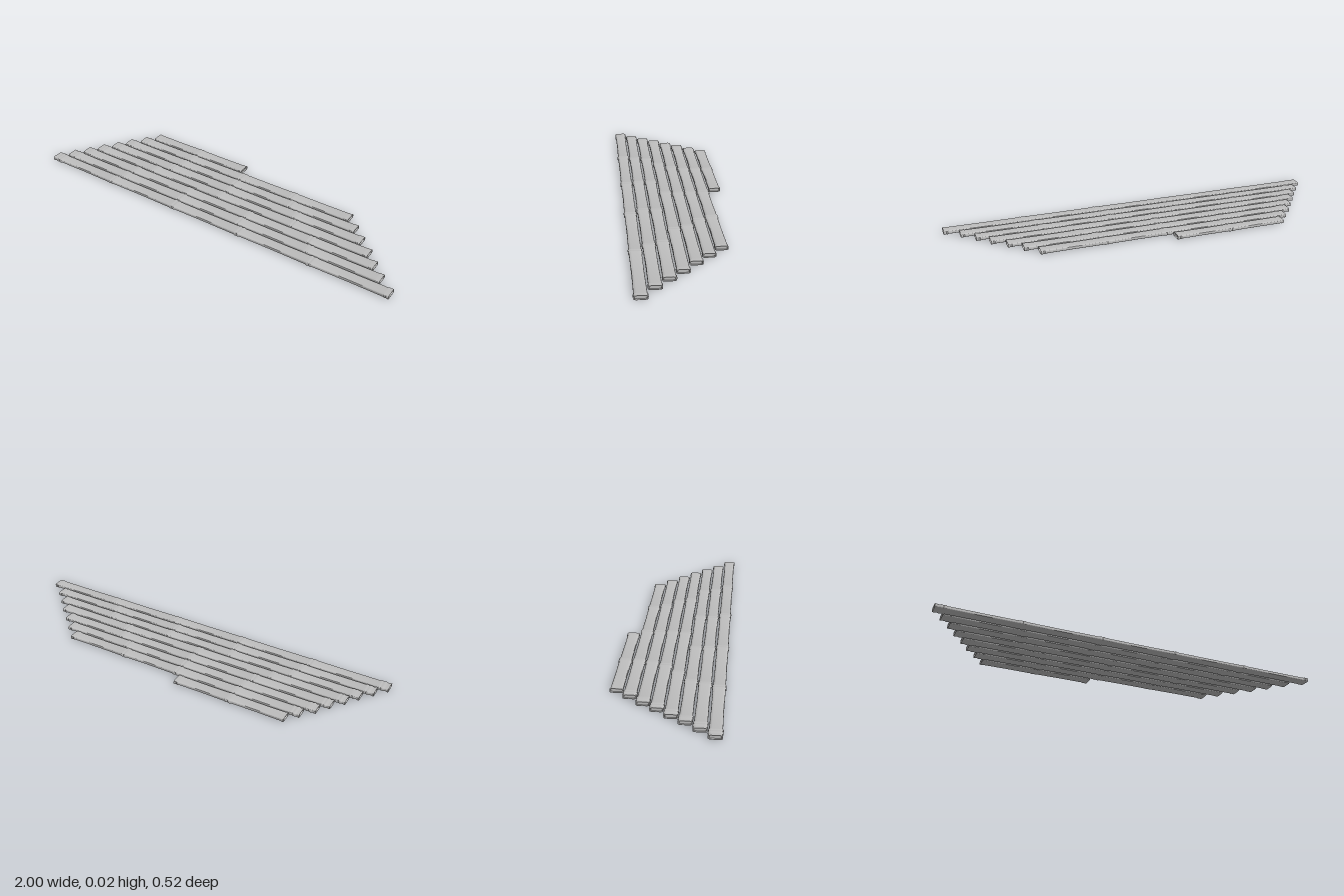
import * as THREE from 'three';
import { toCreasedNormals } from 'three/addons/utils/BufferGeometryUtils.js';

const HEIGHT = 0.022, PITCH = 0.065, SIDES = 24;

// Each pole, front to back: left tip, right tip, joint positions
const POLES = [
  [-1.0, 1.0, [-0.96, -0.59, -0.19, 0.2, 0.6]],
  [-0.95, 0.925, [-0.91, -0.565, -0.2, 0.16, 0.545]],
  [-0.9, 0.86, [-0.865, -0.545, -0.205, 0.165, 0.52]],
  [-0.855, 0.8, [-0.82, -0.465, -0.045, 0.39]],
  [-0.805, 0.73, [-0.77, -0.4, -0.035, 0.365]],
  [-0.76, 0.665, [-0.725, -0.375, -0.04, 0.3]],
  [-0.705, 0.6, [-0.67, -0.365, -0.04, 0.27]],
  [-0.655, -0.07, [-0.365]],
];

// Flattened round cross-section swept along x; profile holds [x, size] stations
function sweep(profile) {
  const positions = [], index = [];
  const squash = (v, p) => Math.sign(v) * Math.abs(v) ** p;
  for (const [x, size] of profile) {
    for (let j = 0; j < SIDES; j++) {
      const a = (j / SIDES) * Math.PI * 2;
      positions.push(x,
        HEIGHT / 2 * size * squash(Math.sin(a), 0.55),
        PITCH / 2 * size * squash(Math.cos(a), 0.4));
    }
  }
  for (let i = 0; i < profile.length - 1; i++) {
    for (let j = 0; j < SIDES; j++) {
      const a = i * SIDES + j, b = i * SIDES + (j + 1) % SIDES;
      const c = a + SIDES, d = b + SIDES;
      if (profile[i + 1][1] > 0) index.push(a, c, d);
      if (profile[i][1] > 0) index.push(a, d, b);
    }
  }
  // Close the two triangles fans that meet at the tips
  const last = (profile.length - 2) * SIDES;
  for (let j = 0; j < SIDES; j++) {
    index.push(last + j, last + SIDES + j, last + (j + 1) % SIDES);
  }
  const geometry = new THREE.BufferGeometry();
  geometry.setAttribute('position', new THREE.Float32BufferAttribute(positions, 3));
  geometry.setIndex(index);
  return toCreasedNormals(geometry, 0.7);
}

function poleProfile(x0, x1, joints) {
  // Recessed left end with a raised rim
  const p = [[x0 + 0.008, 0], [x0 + 0.008, 0.76], [x0, 0.8], [x0, 0.96],
    [x0 + 0.008, 0.96], [x0 + 0.014, 0.89]];
  let previous = x0;
  for (const x of joints) {
    // Slight waist, then a double-ringed joint
    if (x - previous > 0.1) p.push([(x + previous) / 2, 0.86]);
    p.push([x - 0.018, 0.9], [x - 0.012, 1], [x - 0.004, 0.98], [x, 0.9],
      [x + 0.004, 0.98], [x + 0.011, 1], [x + 0.017, 0.89]);
    previous = x;
  }
  // Flared right end with a recessed cap
  p.push([(previous + x1) / 2, 0.86], [x1 - 0.026, 0.89], [x1 - 0.02, 0.99],
    [x1 - 0.013, 0.91], [x1 - 0.006, 0.99], [x1, 0.96], [x1, 0.8],
    [x1 - 0.008, 0.76], [x1 - 0.008, 0]);
  return p;
}

export function createModel() {
  const model = new THREE.Group();
  model.name = 'bambooDeck';
  const gray = new THREE.MeshStandardMaterial({ color: 0xbdbdbd });
  gray.name = 'lightGray';

  POLES.forEach(([x0, x1, joints], i) => {
    const pole = new THREE.Mesh(sweep(poleProfile(x0, x1, joints)), gray);
    pole.name = 'bambooPole' + (i + 1);
    pole.position.set(0, HEIGHT / 2, (3.5 - i) * PITCH);
    model.add(pole);
  });
  return model;
}
